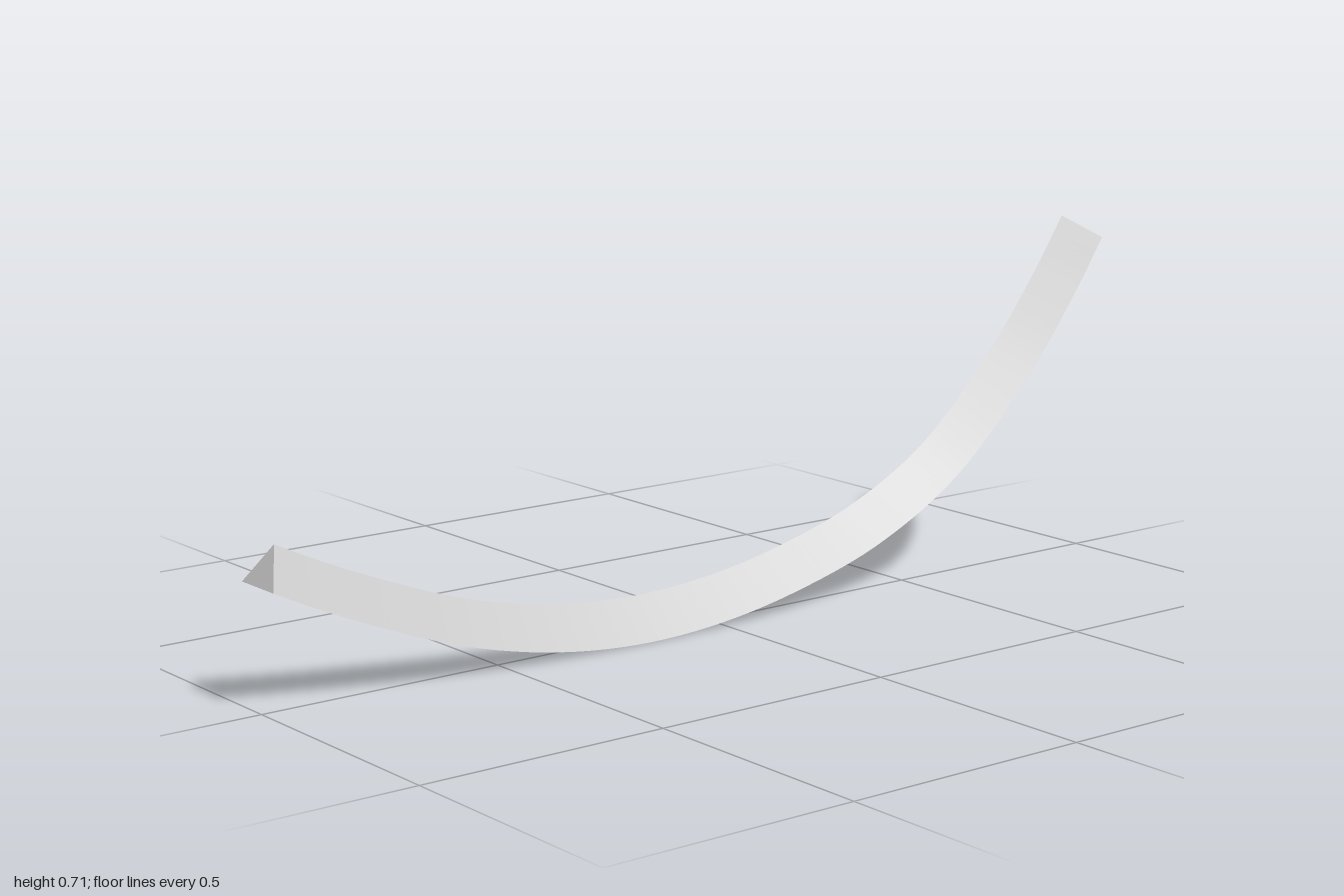
import * as THREE from 'three';
import { mergeGeometries } from 'three/addons/utils/BufferGeometryUtils.js';

const HALF_WIDTH = 0.0535, HEIGHT = 0.08, STEPS = 64;

// Underside of the bar in side view, as [z, y] from front to back
const PATH = [
  [1, 0.23], [0.93, 0.196], [0.8, 0.139], [0.6, 0.065], [0.4, 0.019], [0.2, 0.001], [0, 0.011],
  [-0.2, 0.047], [-0.4, 0.108], [-0.6, 0.215], [-0.8, 0.402], [-0.93, 0.565], [-1, 0.667],
];

// Triangular cross-section: [x, height above the underside]
const SECTION = [[HALF_WIDTH, 0], [0, HEIGHT], [-HALF_WIDTH, 0]];

function surface(points, indices) {
  const geometry = new THREE.BufferGeometry().setFromPoints(points);
  geometry.setIndex(indices);
  geometry.computeVertexNormals();
  return geometry;
}

function createBarGeometry() {
  const curve = new THREE.CatmullRomCurve3(PATH.map(([z, y]) => new THREE.Vector3(0, y, z)));

  // Triangles standing square to the curve
  const rings = [];
  for (let i = 0; i <= STEPS; i++) {
    const p = curve.getPointAt(i / STEPS);
    const t = curve.getTangentAt(i / STEPS);
    const up = new THREE.Vector3(0, -t.z, t.y);
    rings.push(SECTION.map(([x, h]) => p.clone().addScaledVector(up, h).setX(x)));
  }

  // One strip per side: smooth along its length, sharp at the long edges
  const parts = [0, 1, 2].map((side) => {
    const points = [], indices = [];
    rings.forEach((ring, i) => {
      points.push(ring[side], ring[(side + 1) % 3]);
      if (i < STEPS) {
        const a = 2 * i;
        indices.push(a, a + 2, a + 1, a + 1, a + 2, a + 3);
      }
    });
    return surface(points, indices);
  });

  // Flat end caps
  parts.push(surface(rings[0], [0, 1, 2]), surface(rings[STEPS], [0, 2, 1]));
  return mergeGeometries(parts);
}

export function createModel() {
  const group = new THREE.Group();
  group.name = 'curvedBar';
  const bar = new THREE.Mesh(createBarGeometry(), new THREE.MeshStandardMaterial({ color: 0xcccccc }));
  bar.name = 'triangularBar';
  group.add(bar);
  return group;
}
